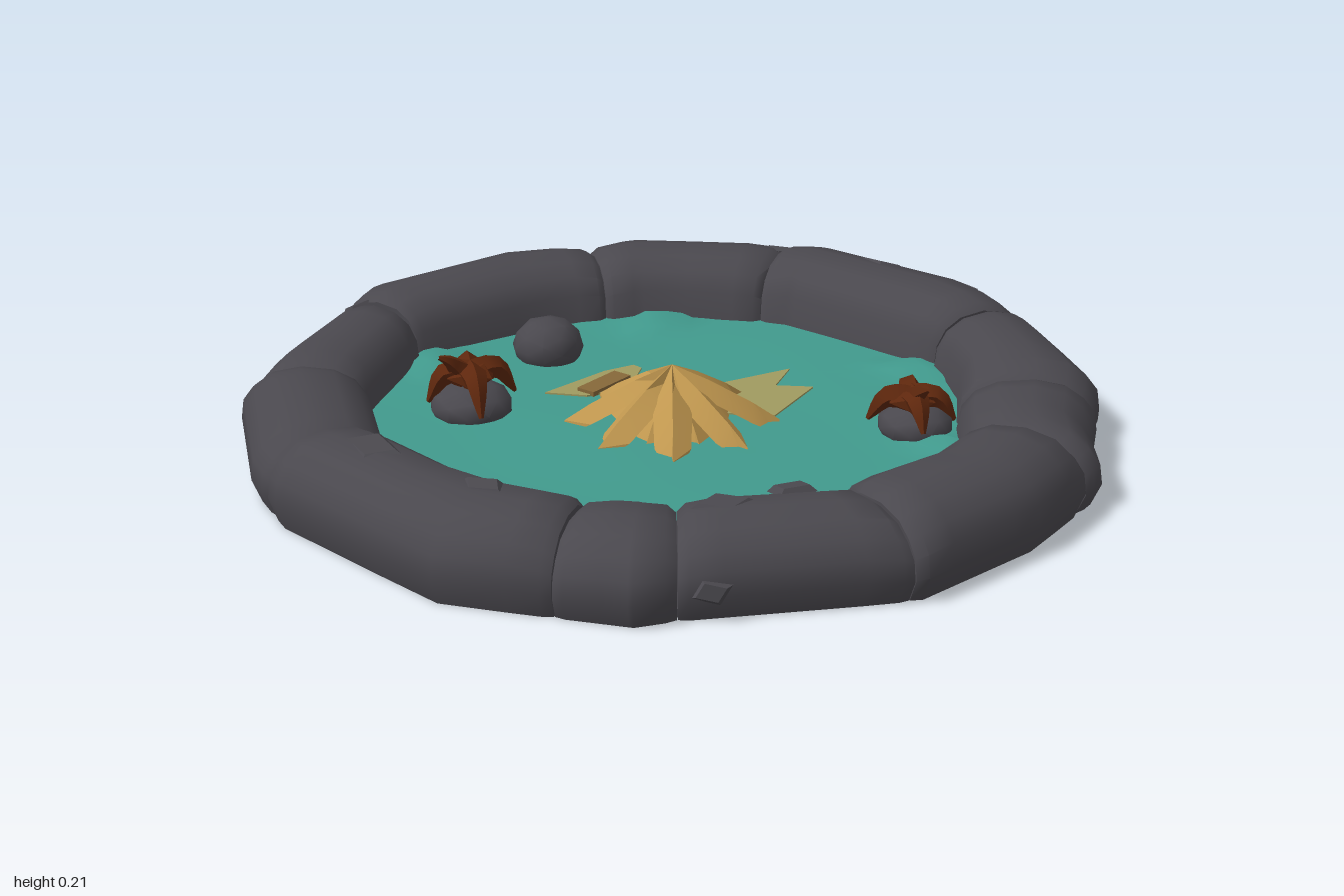
import * as THREE from 'three';
import { toCreasedNormals } from 'three/addons/utils/BufferGeometryUtils.js';

const WATER = 0.046;
const rad = THREE.MathUtils.degToRad;

// plan outlines of the wall, as x, z corners in order of angle
const OUTER = [[1, -.04], [.94, .25], [.94, .39], [.77, .64], [.51, .88], [0, .97], [-.09, 1], [-.5, .88], [-.86, .5],
  [-.93, .35], [-1, -.02], [-.94, -.24], [-.79, -.62], [-.45, -.9], [-.22, -.95], [-.09, -1], [.31, -.96], [.45, -.9], [.77, -.64], [.9, -.41]];
const INNER = [[.65, .04], [.63, .27], [.57, .42], [.28, .64], [0, .67], [-.26, .65], [-.48, .5], [-.62, .32], [-.7, -.07], [-.6, -.42],
  [-.27, -.65], [-.03, -.7], [.28, -.65], [.61, -.35], [.68, -.2]];

// stone joints in degrees (x towards z) and the height of each stone
const JOINTS = [3, 26, 61, 90, 105, 154, 184, 214, 257, 289, 333, 363];
const HEIGHTS = [.18, .2, .192, .19, .203, .18, .175, .192, .193, .2, .188];

// stone cross-section: outer to inner fraction, height fraction
const SECTION = [[.07, 0], [0, .3], [.02, .56], [.1, .75], [.23, .92], [.45, 1], [.7, .96], [.86, .82], [.95, .6], [1, 0]];

const cross = (a, b) => a[0] * b[1] - a[1] * b[0];

// distance from the centre to an outline along an angle
function reach(outline, angle) {
  const d = [Math.cos(angle), Math.sin(angle)];
  for (let i = 0; i < outline.length; i++) {
    const p = outline[i], q = outline[(i + 1) % outline.length];
    if (cross(p, d) >= -1e-9 && cross(d, q) >= -1e-9) return cross(p, q) / cross(d, [q[0] - p[0], q[1] - p[1]]);
  }
  return 1;
}

// one wall stone, sinking and slightly pinched at both ends so the joints show
function stoneGeometry(a0, a1, height) {
  const corners = OUTER.map(([x, z]) => (Math.atan2(z, x) + Math.PI * 2) % (Math.PI * 2))
    .filter(a => a > a0 + .03 && a < a1 - .03);
  const stations = [a0 + .001, a0 + .025, a0 + .1, ...corners, (a0 + a1) / 2 + .015, a1 - .1, a1 - .025, a1 - .001].sort((a, b) => a - b);
  const n = SECTION.length, last = stations.length - 1, pos = [], idx = [];
  stations.forEach((a, s) => {
    const end = s === 0 || s === last;
    const ro = reach(OUTER, a) - (end ? .008 : 0), ri = reach(INNER, a) + (end ? .012 : 0);
    const h = height * (end ? .87 : .94 + .06 * Math.min(1, (a - a0) / .1, (a1 - a) / .1));
    for (const [u, v] of SECTION) {
      const r = ro + (ri - ro) * u;
      pos.push(r * Math.cos(a), v * h, r * Math.sin(a));
    }
  });
  for (let s = 0; s < last; s++) for (let k = 0; k < n; k++) {
    const A = s * n + k, B = s * n + (k + 1) % n;
    idx.push(A, B, A + n, B, B + n, A + n);
  }
  for (let k = 1; k < n - 1; k++) {
    idx.push(0, k + 1, k);
    idx.push(last * n, last * n + k, last * n + k + 1);
  }
  const g = new THREE.BufferGeometry();
  g.setAttribute('position', new THREE.Float32BufferAttribute(pos, 3));
  g.setIndex(idx);
  return toCreasedNormals(g, .8);
}

// ridged leaf-like arm of the starburst, along +x
function armGeometry(length) {
  const rows = [[0, .188, .01], [.35, .148, .045], [.75, .092, .042], [1, .05, .006]];
  const pos = [], idx = [];
  for (const [t, y, w] of rows) {
    const x = t * length;
    pos.push(x, y - .036, w, x, y, 0, x, y - .036, -w);
  }
  for (let i = 0; i < 3; i++) for (let k = 0; k < 2; k++) {
    const A = i * 3 + k;
    idx.push(A, A + 3, A + 1, A + 1, A + 3, A + 4);
  }
  const g = new THREE.BufferGeometry();
  g.setAttribute('position', new THREE.Float32BufferAttribute(pos, 3));
  g.setIndex(idx);
  return toCreasedNormals(g, .5);
}

// tapered branch through points
function branchGeometry(points, radius) {
  const curve = new THREE.CatmullRomCurve3(points.map(p => new THREE.Vector3(...p)));
  const steps = 7, sides = 5, g = new THREE.TubeGeometry(curve, steps, radius, sides);
  const p = g.attributes.position, v = new THREE.Vector3();
  for (let i = 0; i <= steps; i++) for (let j = 0; j <= sides; j++) {
    const k = i * (sides + 1) + j;
    v.fromBufferAttribute(p, k).lerp(curve.getPointAt(i / steps), .85 * (i / steps) ** 1.5);
    p.setXYZ(k, v.x, v.y, v.z);
  }
  return toCreasedNormals(g, .7);
}

// flat shape lying level, from x, z corners
function flatGeometry(corners, depth) {
  const shape = new THREE.Shape(corners.map(([x, z]) => new THREE.Vector2(x, -z)));
  return new THREE.ExtrudeGeometry(shape, { depth, bevelEnabled: false }).rotateX(-Math.PI / 2);
}

export function createModel() {
  const model = new THREE.Group();
  const material = (name, color, side = THREE.FrontSide) => {
    const m = new THREE.MeshStandardMaterial({ color, side });
    m.name = name;
    return m;
  };
  const stone = material('stone', 0x4a484e);
  const water = material('water', 0x419a8d, THREE.DoubleSide);
  const sand = material('sand', 0xc0974f, THREE.DoubleSide);
  const sunkSand = material('sunkenSand', 0xa09b60);
  const wood = material('wood', 0x86683a);
  const coral = material('coral', 0x5e270d);

  const add = (name, geometry, mat, parent = model) => {
    const mesh = new THREE.Mesh(geometry, mat);
    mesh.name = name;
    parent.add(mesh);
    return mesh;
  };

  // floor and ring of stones
  add('floor', flatGeometry(OUTER.map(([x, z]) => [x * .96, z * .96]), .02), stone);
  HEIGHTS.forEach((h, i) => add('wallStone', stoneGeometry(rad(JOINTS[i]), rad(JOINTS[i + 1]), h), stone));

  // chipped facets: angle, radius, height, tilt, size, turn
  const chips = [[307, .9, .182, 22, .065, .3], [288, .93, .165, 25, .05, 1], [142, .82, .198, 5, .09, .5], [119, .82, .198, 5, .06, 1.2],
    [83, .79, .186, 4, .07, .2], [71, .74, .183, -8, .055, .9], [213, .92, .15, 25, .05, .6], [322, .94, .168, 28, .05, .1],
    [86, .962, .07, 80, .045, .4], [40, .985, .08, 80, .04, 1], [357, .985, .07, 82, .05, .7],
    [250, .945, .08, 80, .05, .3], [170, .96, .08, 80, .04, .5]];
  for (const [deg, r, y, tilt, size, turn] of chips) {
    const pivot = new THREE.Group();
    pivot.name = 'chip';
    pivot.rotation.y = -rad(deg);
    const g = toCreasedNormals(new THREE.CylinderGeometry(size * .7, size, .014, 4), .3).rotateY(turn).scale(.7, 1, 1.1);
    const chip = add('stoneChip', g, stone, pivot);
    chip.position.set(r, y, 0);
    chip.rotation.z = -rad(tilt);
    model.add(pivot);
  }

  // gently rippled water, lapping up at a few spots along the wall
  const laps = [[-.58, -.38], [.61, -.32], [-.03, -.66], [.6, .37], [.63, .17]];
  const pool = new THREE.RingGeometry(0, 1, 72, 12).rotateX(-Math.PI / 2);
  const p = pool.attributes.position;
  for (let i = 0; i < p.count; i++) {
    const r = reach(INNER, Math.atan2(p.getZ(i), p.getX(i))) * 1.05;
    const x = p.getX(i) * r, z = p.getZ(i) * r;
    let y = WATER + .004 * Math.sin(7 * x + 2) * Math.cos(6 * z - 1);
    for (const [lx, lz] of laps) y += .035 * Math.exp(-((x - lx) ** 2 + (z - lz) ** 2) / .003);
    p.setXYZ(i, x, y, z);
  }
  pool.computeVertexNormals();
  add('water', pool, water);

  // starburst in the middle
  const star = new THREE.Group();
  star.name = 'starburst';
  model.add(star);
  for (let i = 0; i < 8; i++) {
    add('starArm', armGeometry(i % 2 ? .24 : .25), sand, star).rotation.y = i * Math.PI / 4;
    const arm = add('innerArm', armGeometry(.17), sand, star);
    arm.rotation.y = (i + .5) * Math.PI / 4;
    arm.position.y = -.014;
  }

  // sand showing through the water
  const patches = [[[.07, -.2], [.29, -.32], [.25, -.21], [.34, -.2], [.24, -.02], [.1, -.04]],
    [[-.3, -.17], [-.16, -.31], [-.09, -.35], [-.07, -.33], [-.1, -.2], [-.2, -.15]]];
  for (const patch of patches) add('sandPatch', flatGeometry(patch, .004), sunkSand).position.y = WATER + .002;
  const log = add('driftwood', new THREE.BoxGeometry(.14, .012, .05), wood);
  log.position.set(-.16, WATER + .008, -.22);
  log.rotation.y = .9;

  // rocks: x, y, z, radius, flattening
  for (const [x, y, z, r, flat] of [[-.3, .075, -.43, .088, .82], [-.47, .06, -.08, .1, .58], [.56, .06, .05, .09, .6]]) {
    const rock = add('rock', toCreasedNormals(new THREE.IcosahedronGeometry(r, 1), .7), stone);
    rock.position.set(x, y, z);
    rock.scale.y = flat;
    rock.rotation.y = x * 9;
  }

  // corals: splayed feet under a hub, with one curling stalk
  function makeCoral(name, x, z, hubY, feet, stalk) {
    const group = new THREE.Group();
    group.name = name;
    group.position.set(x, 0, z);
    const hub = toCreasedNormals(new THREE.IcosahedronGeometry(.062, 0).scale(1, .5, 1), .3);
    add('coralHub', hub, coral, group).position.y = hubY;
    for (const [fx, fz] of feet)
      add('coralFoot', branchGeometry([[0, hubY, 0], [fx * .55, hubY + .005, fz * .55], [fx, .07, fz]], .036), coral, group);
    add('coralStalk', branchGeometry(stalk, .03), coral, group);
    model.add(group);
  }
  makeCoral('rightCoral', -.47, -.08, .135, [[-.02, -.12], [.1, -.06], [.03, .12], [-.1, .01]],
    [[0, .13, 0], [-.03, .16, .02], [-.05, .185, .04], [-.07, .195, .05]]);
  makeCoral('leftCoral', .55, .045, .12, [[0, -.12], [.1, .01], [.02, .1], [-.1, 0]],
    [[0, .12, 0], [.01, .14, .03], [.02, .16, .06], [.03, .175, .09]]);

  return model;
}
